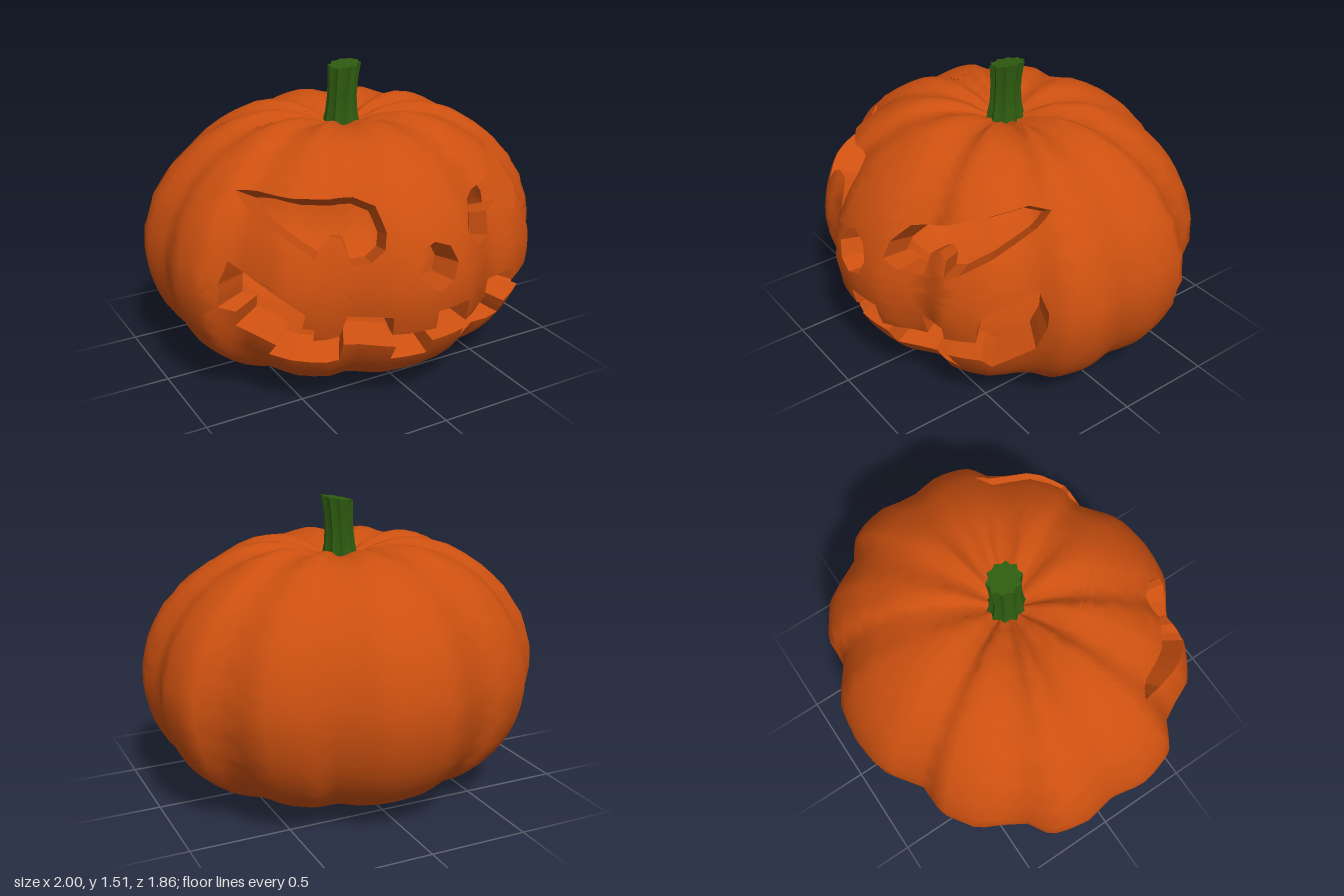
import * as THREE from 'three';
import { toCreasedNormals } from 'three/addons/utils/BufferGeometryUtils.js';

const V2 = (x, y) => new THREE.Vector2(x, y);
const V3 = (x, y, z) => new THREE.Vector3(x, y, z);

// One quarter of the ribbed waist outline (x, z), mirrored to 32 points.
const quarter = [[0.97, 0], [1, 0.18], [0.95, 0.36], [0.82, 0.45], [0.71, 0.66], [0.54, 0.77], [0.39, 0.77], [0.2, 0.9], [0, 0.93]];
const ring = [];
for (let i = 0; i < 32; i++) {
  const k = i % 16 > 8 ? 16 - (i % 16) : i % 16;
  const [x, z] = quarter[k];
  ring.push(V3(i > 8 && i < 24 ? -x : x, 0, i > 16 ? -z : z));
}
const waist = new THREE.CatmullRomCurve3(ring, true, 'catmullrom', 0.3);

// Vertical profile: (scale of the waist outline, height), bottom to top.
const profile = new THREE.CatmullRomCurve3([
  [0, 0.005], [0.2, 0.007], [0.38, 0.018], [0.54, 0.05], [0.69, 0.11], [0.82, 0.2], [0.91, 0.31], [0.97, 0.44],
  [1, 0.59], [0.99, 0.73], [0.935, 0.89], [0.84, 1.03], [0.71, 1.15], [0.53, 1.255], [0.35, 1.29], [0.2, 1.265],
  [0.1, 1.22], [0, 1.19],
].map(([s, y]) => V3(s, y, 0)), false, 'catmullrom', 0.5);

// Depth of the rib valleys round the body, 0 on a rib and 1 in a valley.
function valley(theta) {
  const u = ((theta / Math.PI * 16) % 32 + 32) % 32;
  const k = u % 16 > 8 ? 16 - (u % 16) : u % 16;
  return 0.5 + 0.5 * Math.cos(k < 6 ? k * Math.PI * 2 / 3 : (k - 6) * Math.PI / 2);
}

// Body surface: theta runs from +x through the front, phi from bottom to top.
function surface(theta, phi) {
  const t = ((theta / (2 * Math.PI)) % 1 + 1) % 1;
  const r = waist.getPoint(t);
  const p = profile.getPoint(THREE.MathUtils.clamp(phi / Math.PI, 0, 1));
  const top = THREE.MathUtils.smoothstep(phi, 2.1, 2.6) * Math.min(1, p.x * 4);
  return V3(r.x * p.x, p.y - 0.035 * top * valley(theta), r.z * p.x);
}

function surfaceNormal(theta, phi) {
  const f = THREE.MathUtils.clamp(phi, 0.03, Math.PI - 0.03), e = 0.02;
  const du = surface(theta + e, f).sub(surface(theta - e, f));
  const dv = surface(theta, f + e).sub(surface(theta, f - e));
  return dv.cross(du).normalize();
}

function bisect(f, lo, hi) {
  const up = f(hi) > f(lo);
  for (let i = 0; i < 22; i++) {
    const m = (lo + hi) / 2;
    if ((f(m) < 0) === up) lo = m; else hi = m;
  }
  return (lo + hi) / 2;
}

// Surface parameters of a point drawn on the face at (x, y).
function unproject({ x, y }) {
  let theta = Math.PI / 2, phi = 1.5;
  for (let i = 0; i < 6; i++) {
    phi = bisect((f) => surface(theta, f).y - y, 0, 2.5);
    theta = bisect((a) => surface(a, phi).x - x, 0.2, Math.PI - 0.2);
  }
  return V2(theta, phi);
}

// Face openings, outlined in (x, y).
const leftEye = [[0.205, 0.82], [0.21, 0.9], [0.26, 0.98], [0.38, 1.01], [0.49, 1.06], [0.62, 1.115], [0.71, 1.115], [0.7, 1.04],
  [0.66, 0.94], [0.58, 0.86], [0.52, 0.84], [0.505, 0.91], [0.45, 0.93], [0.39, 0.89], [0.38, 0.78], [0.275, 0.78]];
const rightEye = [[-0.73, 1.07], [-0.48, 1.07], [-0.3, 1.06], [-0.23, 1.03], [-0.22, 0.93], [-0.24, 0.86], [-0.3, 0.8], [-0.375, 0.785],
  [-0.385, 0.85], [-0.4, 0.91], [-0.46, 0.93], [-0.51, 0.9], [-0.54, 0.84], [-0.63, 0.915], [-0.7, 0.98]];
const nose = Array.from({ length: 8 }, (_, i) => [-0.013 + 0.115 * Math.cos(i * Math.PI / 4), 0.76 + 0.112 * Math.sin(i * Math.PI / 4)]);
const mouth = [[-0.825, 0.78], [-0.6, 0.59], [-0.61, 0.52], [-0.56, 0.51], [-0.56, 0.45], [-0.43, 0.445], [-0.4, 0.545], [-0.225, 0.545],
  [-0.22, 0.45], [-0.01, 0.45], [-0.01, 0.545], [0.175, 0.55], [0.18, 0.43], [0.38, 0.44], [0.38, 0.555], [0.54, 0.575],
  [0.54, 0.51], [0.68, 0.54], [0.7, 0.67], [0.81, 0.8], [0.87, 0.7], [0.87, 0.62], [0.81, 0.47], [0.68, 0.35],
  [0.67, 0.41], [0.52, 0.385], [0.53, 0.295], [0.185, 0.28], [0.185, 0.375], [-0.01, 0.375], [-0.01, 0.29], [-0.19, 0.29],
  [-0.19, 0.375], [-0.4, 0.385], [-0.4, 0.285], [-0.69, 0.325], [-0.69, 0.41], [-0.805, 0.455], [-0.81, 0.535], [-0.88, 0.555], [-0.875, 0.67]];

// Outline cut into short steps and laid onto the surface parameters.
function opening(points) {
  const out = [];
  points.forEach(([x, y], i) => {
    const [x2, y2] = points[(i + 1) % points.length];
    const n = Math.ceil(Math.hypot(x2 - x, y2 - y) / 0.09);
    for (let k = 0; k < n; k++) out.push(unproject(V2(x + (x2 - x) * k / n, y + (y2 - y) * k / n)));
  });
  return out;
}

// Parameter sheet with the openings left out, split until every edge is short.
function carvedSheet(maxEdge) {
  const a0 = -Math.PI / 2, a1 = 1.5 * Math.PI;
  const border = [V2(a0, 0), V2(a1, 0), V2(a1, Math.PI), V2(a0, Math.PI)];
  const holes = [leftEye, rightEye, nose, mouth].map(opening);
  const pts = [border, ...holes].flat();
  const mids = new Map(), tris = [];
  const middle = (a, b) => {
    const key = a < b ? a + '_' + b : b + '_' + a;
    if (!mids.has(key)) mids.set(key, pts.push(pts[a].clone().add(pts[b]).multiplyScalar(0.5)) - 1);
    return mids.get(key);
  };
  const stack = THREE.ShapeUtils.triangulateShape(border, holes);
  while (stack.length) {
    let [a, b, c] = stack.pop();
    const ab = pts[a].distanceTo(pts[b]), bc = pts[b].distanceTo(pts[c]), ca = pts[c].distanceTo(pts[a]);
    if (bc >= ab && bc >= ca) [a, b, c] = [b, c, a];
    else if (ca >= ab && ca >= bc) [a, b, c] = [c, a, b];
    if (Math.max(ab, bc, ca) > maxEdge) {
      const m = middle(a, b);
      stack.push([a, m, c], [m, b, c]);
    } else {
      const area = pts[b].clone().sub(pts[a]).cross(pts[c].clone().sub(pts[a]));
      tris.push(area > 0 ? [a, c, b] : [a, b, c]);
    }
  }
  return { pts, tris, onBorder: (p) => p.x < a0 + 1e-6 || p.x > a1 - 1e-6 || p.y < 1e-6 || p.y > Math.PI - 1e-6 };
}

function geometryFrom(positions, normals, index) {
  const g = new THREE.BufferGeometry();
  g.setAttribute('position', new THREE.Float32BufferAttribute(positions.flatMap((p) => p.toArray()), 3));
  if (normals) g.setAttribute('normal', new THREE.Float32BufferAttribute(normals.flatMap((p) => p.toArray()), 3));
  else g.computeVertexNormals();
  if (index) g.setIndex(index);
  return g;
}

function addMesh(group, name, geometry, material) {
  const mesh = new THREE.Mesh(geometry, material);
  mesh.name = name;
  group.add(mesh);
}

// Ribbed, slightly leaning stalk.
function stemGeometry() {
  const g = new THREE.CylinderGeometry(1, 1, 1, 20, 4);
  const pos = g.attributes.position;
  for (let i = 0; i < pos.count; i++) {
    const x = pos.getX(i), z = pos.getZ(i), t = pos.getY(i) + 0.5;
    const flute = 1 + 0.1 * Math.cos(10 * Math.atan2(z, x));
    const r = (0.07 + 0.028 * (2 * t - 1.1) ** 2 * (t < 0.55 ? 0.7 : 0.4)) * flute;
    pos.setXYZ(i, x * r * 0.93 + 0.018 * t * t, 1.18 + t * (0.322 + 0.012 * x), z * r * 1.06);
  }
  return toCreasedNormals(g.toNonIndexed(), 0.9);
}

export function createModel() {
  const group = new THREE.Group();
  group.name = 'carvedPumpkin';
  const orange = new THREE.MeshStandardMaterial({ color: 0xcc5010 });
  const green = new THREE.MeshStandardMaterial({ color: 0x2f5c10 });

  const { pts, tris, onBorder } = carvedSheet(0.15);
  const centre = V3(0, 0.62, 0);
  const outer = pts.map((p) => surface(p.x, p.y));
  const normals = pts.map((p) => surfaceNormal(p.x, p.y));
  const inner = outer.map((p) => p.clone().sub(centre).multiplyScalar(0.82).add(centre));

  // Outer skin and the hollow inside
  addMesh(group, 'outerSkin', geometryFrom(outer, normals, tris.flat()), orange);
  addMesh(group, 'innerSkin', geometryFrom(inner, normals.map((n) => n.clone().negate()), tris.flatMap(([a, b, c]) => [a, c, b])), orange);

  // Cut walls joining both skins round every opening
  const edges = new Set(tris.flatMap(([a, b, c]) => [a + '_' + b, b + '_' + c, c + '_' + a]));
  const walls = [];
  for (const edge of edges) {
    const [a, b] = edge.split('_').map(Number);
    if (edges.has(b + '_' + a) || (onBorder(pts[a]) && onBorder(pts[b]))) continue;
    walls.push(outer[b], outer[a], inner[a], outer[b], inner[a], inner[b]);
  }
  addMesh(group, 'openingWalls', geometryFrom(walls), orange);

  addMesh(group, 'stem', stemGeometry(), green);
  return group;
}
